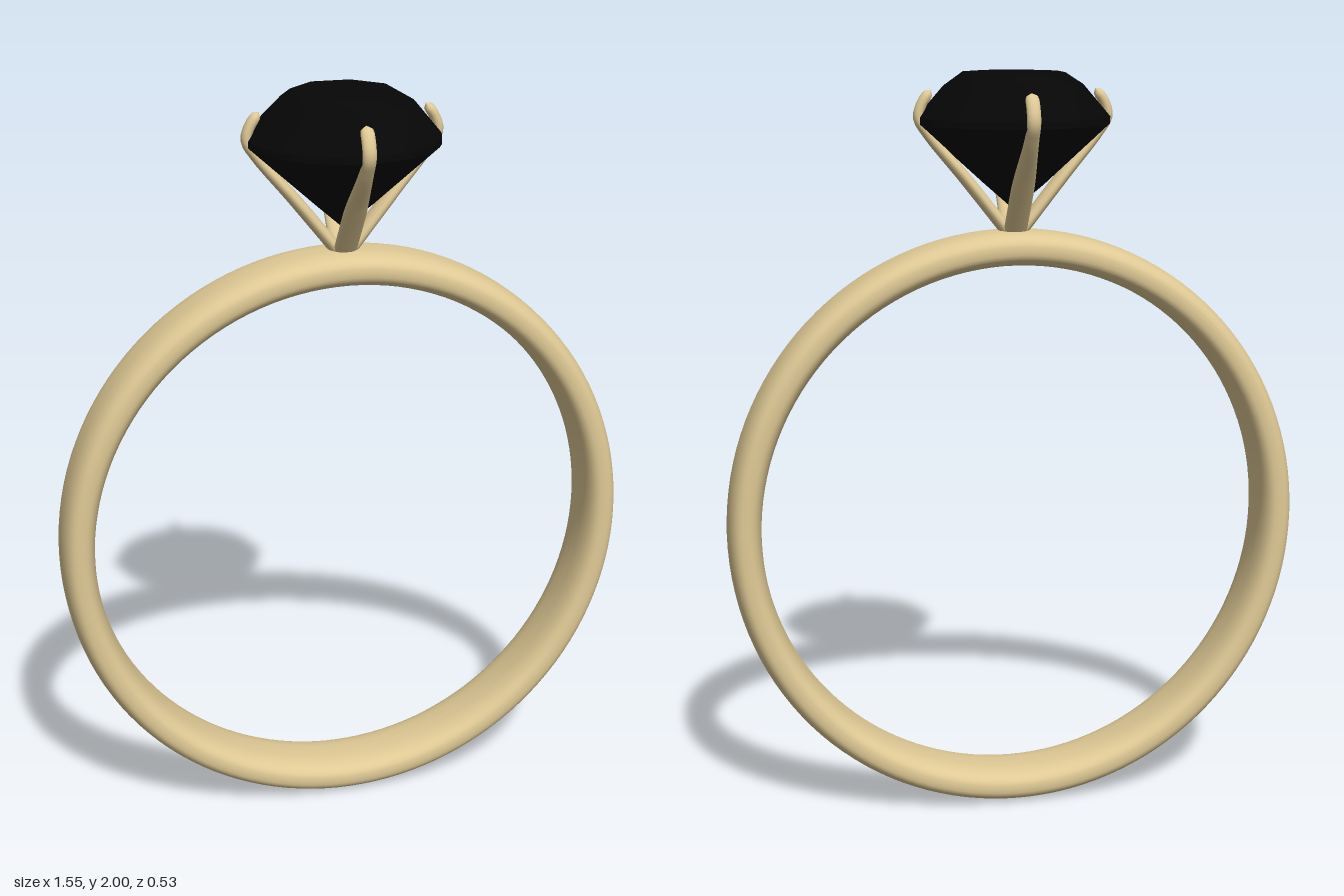
import * as THREE from 'three';
import { ConvexGeometry } from 'three/addons/geometries/ConvexGeometry.js';

const gold = new THREE.MeshStandardMaterial({ color: 0xdfc995 });
const black = new THREE.MeshStandardMaterial({ color: 0x060606, flatShading: true });

// Rounded band: a superellipse section turned around the finger axis
function bandGeometry() {
  const profile = [], n = 40, power = 2 / 2.6;
  const soft = v => Math.sign(v) * Math.abs(v) ** power;
  for (let i = 0; i <= n; i++) {
    const t = -Math.PI + (i / n) * Math.PI * 2;
    profile.push(new THREE.Vector2(0.731 + 0.045 * soft(Math.cos(t)), 0.094 * soft(Math.sin(t))));
  }
  const geo = new THREE.LatheGeometry(profile, 128);
  geo.rotateX(Math.PI / 2);
  geo.scale(1, 1.026, 1);
  return geo;
}

// Round cut stone: hull of table, crown, girdle, pavilion and culet points
function stoneGeometry() {
  const points = [new THREE.Vector3(0, 1.645, 0)];
  const ring = (count, radius, y, turn = 0) => {
    for (let i = 0; i < count; i++) {
      const a = ((i + turn) / count) * Math.PI * 2;
      points.push(new THREE.Vector3(radius * Math.cos(a), y, radius * Math.sin(a)));
    }
  };
  ring(8, 0.135, 2.0, 0.5);
  ring(8, 0.185, 1.967);
  ring(48, 0.25, 1.888);
  ring(48, 0.25, 1.87);
  ring(8, 0.08, 1.712, 0.5);
  return new ConvexGeometry(points);
}

// Claw: elliptical sections swept along a bent path in the x-y plane
function prongGeometry() {
  const path = new THREE.CatmullRomCurve3([
    [0.015, 1.585], [0.13, 1.73], [0.225, 1.843], [0.25, 1.885], [0.242, 1.92], [0.217, 1.957],
  ].map(([x, y]) => new THREE.Vector3(x, y, 0)));
  const rings = 40, sides = 16, pos = [], index = [];
  for (let i = 0; i <= rings; i++) {
    const u = i / rings;
    const c = path.getPointAt(u), t = path.getTangentAt(u);
    const dome = Math.sqrt(Math.max(0, 1 - Math.max(0, (u - 0.95) / 0.05) ** 2));
    const blend = THREE.MathUtils.smoothstep(u, 0.3, 0.8);
    const width = THREE.MathUtils.lerp(0.031, 0.018, blend) * dome;
    const thick = THREE.MathUtils.lerp(0.017, 0.014, blend) * dome;
    for (let j = 0; j < sides; j++) {
      const a = (j / sides) * Math.PI * 2;
      const out = Math.cos(a) * thick;
      pos.push(c.x + t.y * out, c.y - t.x * out, -Math.sin(a) * width);
      if (i < rings) {
        const p = i * sides + j, q = i * sides + ((j + 1) % sides);
        index.push(p, q, p + sides, q, q + sides, p + sides);
      }
    }
  }
  const geo = new THREE.BufferGeometry();
  geo.setAttribute('position', new THREE.Float32BufferAttribute(pos, 3));
  geo.setIndex(index);
  geo.computeVertexNormals();
  return geo;
}

export function createModel() {
  const ringModel = new THREE.Group();
  ringModel.name = 'ring';

  const band = new THREE.Mesh(bandGeometry(), gold);
  band.name = 'band';
  band.position.y = 0.797;
  ringModel.add(band);

  const stone = new THREE.Mesh(stoneGeometry(), black);
  stone.name = 'stone';
  ringModel.add(stone);

  // Four claws around the stone
  const setting = new THREE.Group();
  setting.name = 'setting';
  const claw = prongGeometry();
  for (let i = 0; i < 4; i++) {
    const prong = new THREE.Mesh(claw, gold);
    prong.name = 'prong';
    prong.rotation.y = (i * Math.PI) / 2;
    setting.add(prong);
  }
  ringModel.add(setting);
  return ringModel;
}
